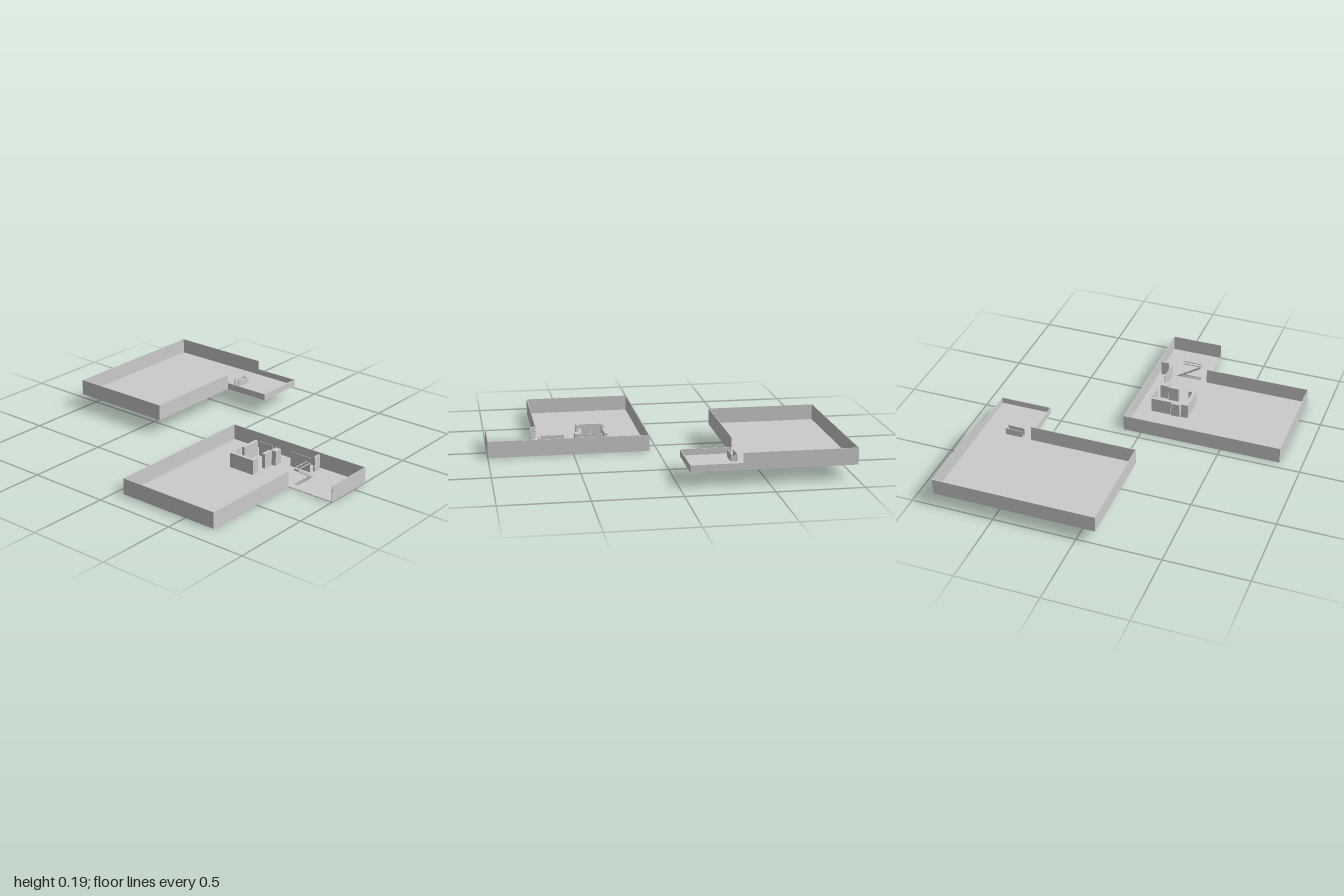
import * as THREE from 'three';

const T = 0.004; // sheet wall thickness

export function createModel() {
  const model = new THREE.Group();
  const mat = new THREE.MeshStandardMaterial({ color: 0xcccccc, side: THREE.DoubleSide, flatShading: true });

  // Axis-aligned block given by its extents
  function block(parent, name, x0, x1, y0, y1, z0, z1) {
    const mesh = new THREE.Mesh(new THREE.BoxGeometry(x1 - x0, y1 - y0, z1 - z0), mat);
    mesh.position.set((x0 + x1) / 2, (y0 + y1) / 2, (z0 + z1) / 2);
    mesh.name = name;
    parent.add(mesh);
    return mesh;
  }

  // L-shaped floor slab with a rectangular stair opening
  function floorSlab(parent, y, x0, xi, x1, z0, zi, z1, hole) {
    const pts = [[x0, z0], [x1, z0], [x1, z1], [xi, z1], [xi, zi], [x0, zi]];
    const shape = new THREE.Shape(pts.map(([x, z]) => new THREE.Vector2(x, -z)));
    const [a, b, c, d] = hole;
    shape.holes.push(new THREE.Path([[a, c], [a, d], [b, d], [b, c]].map(([x, z]) => new THREE.Vector2(x, -z))));
    const geo = new THREE.ExtrudeGeometry(shape, { depth: T, bevelEnabled: false });
    geo.rotateX(-Math.PI / 2);
    const mesh = new THREE.Mesh(geo, mat);
    mesh.position.y = y;
    mesh.name = 'floor';
    parent.add(mesh);
  }

  // Back, side and front walls around the main hall of a storey
  function hallWalls(parent, y0, y1, x0, xi, x1, z0, zi) {
    block(parent, 'backWall', x0, x1, y0, y1, z0, z0 + T);
    block(parent, 'rightWall', x0, x0 + T, y0, y1, z0, zi);
    block(parent, 'leftWall', x1 - T, x1, y0, y1, z0, zi);
    block(parent, 'frontWall', x0, xi, y0, y1, zi - T, zi);
  }

  // Lower storey
  const lower = new THREE.Group();
  lower.name = 'lowerStorey';
  floorSlab(lower, 0, -0.865, -0.21, 0.11, 0.05, 0.7, 1, [-0.165, -0.01, 0.704, 0.735]);
  hallWalls(lower, 0, 0.098, -0.865, -0.21, 0.11, 0.05, 0.7);
  block(lower, 'wingLeftWall', 0.11 - T, 0.11, 0, 0.098, 0.7, 1);
  block(lower, 'wingFrontWall', -0.21, 0.11, 0, 0.098, 1 - T, 1);

  // Partitions of the small rooms: x0, x1, z0, z1
  const partitions = [
    [-0.22, -0.2, 0.285, 0.455], [-0.2, -0.175, 0.285, 0.305], [-0.2, -0.175, 0.433, 0.455],
    [-0.11, 0.016, 0.285, 0.305], [-0.11, -0.045, 0.433, 0.455], [-0.04, 0.01, 0.442, 0.48],
    [0.016, 0.02, 0.315, 0.41], [0.016, 0.02, 0.545, 0.685], [0.04, 0.09, 0.69, 0.7],
  ];
  for (const [x0, x1, z0, z1] of partitions) block(lower, 'partition', x0, x1, 0, 0.095, z0, z1);
  block(lower, 'doorPanel', -0.168, -0.115, 0, 0.09, 0.28, 0.284);

  // Staircase rising through the opening, as a stepped band
  const steps = 10, run = 0.155 / steps, rise = 0.1 / steps;
  const outline = [new THREE.Vector2(-0.01, 0)];
  for (let i = 0; i < steps; i++) {
    outline.push(new THREE.Vector2(-0.01 - i * run, (i + 1) * rise));
    outline.push(new THREE.Vector2(-0.01 - (i + 1) * run, (i + 1) * rise));
  }
  outline.push(new THREE.Vector2(-0.165, 0.09), new THREE.Vector2(-0.025, 0));
  const stairGeo = new THREE.ExtrudeGeometry(new THREE.Shape(outline), { depth: 0.029, bevelEnabled: false });
  const stair = new THREE.Mesh(stairGeo, mat);
  stair.position.z = 0.705;
  stair.name = 'staircase';
  lower.add(stair);
  for (const z of [0.706, 0.732]) block(lower, 'stairRail', -0.165, -0.05, 0.101, 0.106, z, z + 0.003);
  model.add(lower);

  // Upper storey, set down beside the lower one
  const upper = new THREE.Group();
  upper.name = 'upperStorey';
  const base = 0.088;
  floorSlab(upper, base, -0.115, 0.54, 0.86, -1, -0.35, -0.056, [0.6, 0.7, -0.349, -0.316]);
  hallWalls(upper, base, 0.185, -0.115, 0.54, 0.86, -1, -0.35);

  // Low parapet around the terrace
  block(upper, 'parapetLeft', 0.86 - T, 0.86, base, 0.128, -0.35, -0.056);
  block(upper, 'parapetRight', 0.54, 0.54 + T, base, 0.128, -0.35, -0.056);
  block(upper, 'parapetFront', 0.54, 0.86, base, 0.128, -0.062, -0.056);

  // Guard around the stair opening
  for (const z of [-0.351, -0.317]) block(upper, 'openingGuard', 0.6, 0.705, base, 0.134, z, z + T);
  block(upper, 'openingGuardEnd', 0.7, 0.7 + T, base, 0.126, -0.35, -0.315);
  model.add(upper);

  return model;
}
